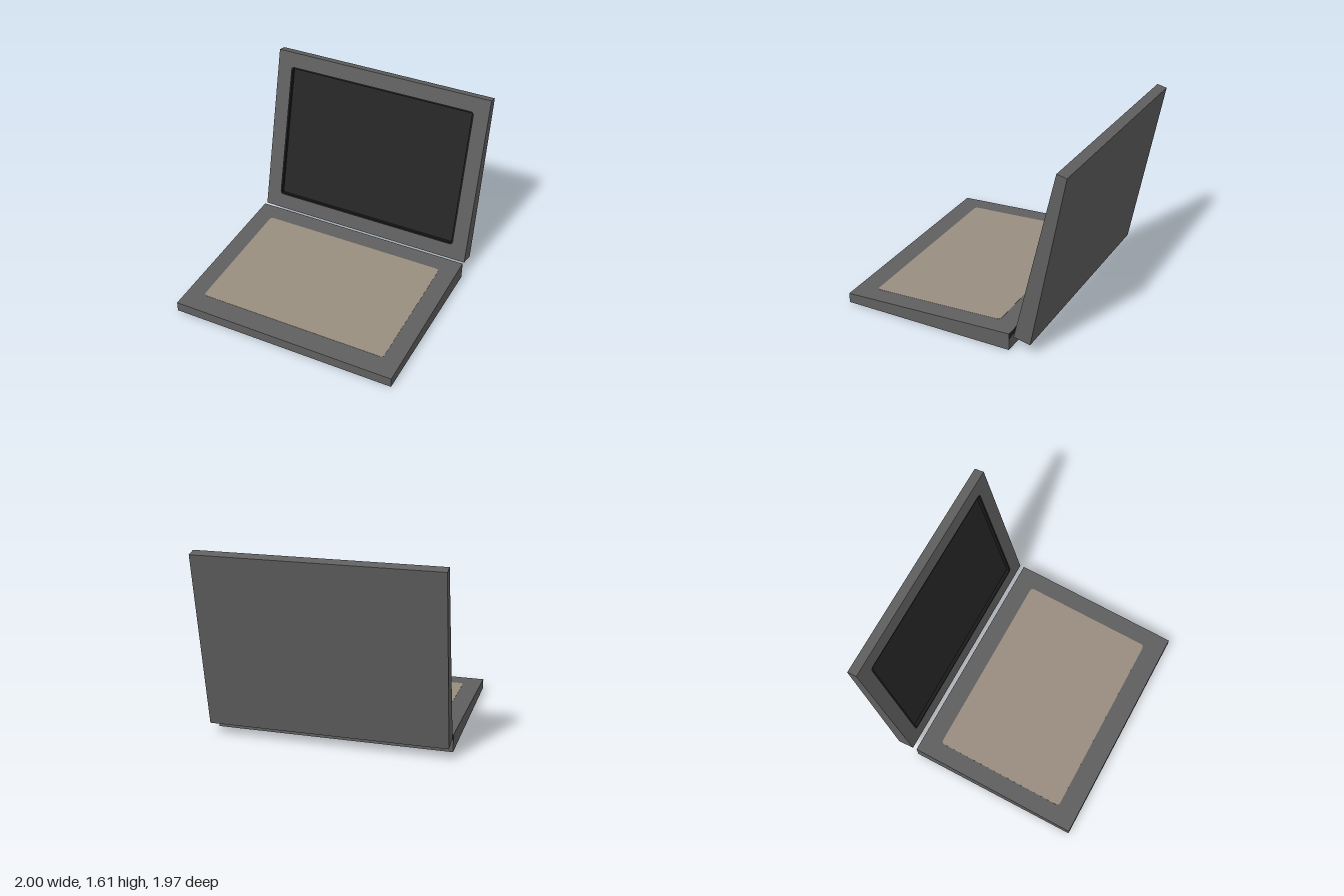
import * as THREE from 'three';

const mat = (name, color) => {
  const m = new THREE.MeshStandardMaterial({ color });
  m.name = name;
  return m;
};

// Rounded rectangle outline centred on (0, cy)
function roundedRect(w, h, r, cy = 0, Type = THREE.Shape) {
  const s = new Type();
  const x = w / 2, b = cy - h / 2, t = cy + h / 2;
  s.moveTo(-x + r, b);
  s.lineTo(x - r, b);
  s.quadraticCurveTo(x, b, x, b + r);
  s.lineTo(x, t - r);
  s.quadraticCurveTo(x, t, x - r, t);
  s.lineTo(-x + r, t);
  s.quadraticCurveTo(-x, t, -x, t - r);
  s.lineTo(-x, b + r);
  s.quadraticCurveTo(-x, b, -x + r, b);
  return s;
}

// Slab whose front face lies on z = 0
function slab(shape, depth) {
  return new THREE.ExtrudeGeometry(shape, { depth, bevelEnabled: false, curveSegments: 6 }).translate(0, 0, -depth);
}

// Side profile of [z, y] points stretched across the full width
function prism(points) {
  const shape = new THREE.Shape(points.map(([z, y]) => new THREE.Vector2(z, y)));
  return new THREE.ExtrudeGeometry(shape, { depth: 2, bevelEnabled: false }).translate(0, 0, -1).rotateY(-Math.PI / 2);
}

export function createModel() {
  const casing = mat('casing grey', 0x5f5f5f);
  const dark = mat('screen charcoal', 0x262626);
  const rimBlack = mat('rim black', 0x1a1a1a);
  const taupe = mat('deck taupe', 0x988d7f);

  const model = new THREE.Group();
  const add = (parent, name, geometry, material) => {
    const mesh = new THREE.Mesh(geometry, material);
    mesh.name = name;
    parent.add(mesh);
    return mesh;
  };

  // Base: wedge, thicker at the hinge
  const base = new THREE.Group();
  base.name = 'base';
  add(base, 'baseCasing', prism([[-0.53, 0], [0.98, 0], [0.98, 0.085], [-0.53, 0.15]]), casing);

  // Key deck follows the sloping top
  const deck = add(base, 'keyDeck', slab(roundedRect(1.69, 1.17, 0.035), 0.006), taupe);
  deck.rotation.x = -Math.PI / 2 + 0.043;
  deck.position.set(0, 0.12, 0.215);

  // Underside panel and the strip along the hinge edge
  const under = add(base, 'undersidePanel', slab(roundedRect(1.72, 1.21, 0.035), 0.006), dark);
  under.rotation.x = Math.PI / 2;
  under.position.set(0, -0.002, 0.225);
  const strip = add(base, 'hingeStrip', new THREE.BoxGeometry(2, 0.045, 0.006), dark);
  strip.position.set(0, 0.126, -0.529);
  model.add(base);

  // Lid: origin at its lower front edge, y runs up the lid, z faces out of it
  const lid = new THREE.Group();
  lid.name = 'lid';
  const length = 1.513, pocket = 0.04, mid = 0.757;
  const frame = new THREE.Shape();
  frame.moveTo(-1, 0);
  frame.lineTo(1, 0);
  frame.lineTo(1, length);
  frame.lineTo(-1, length);
  frame.closePath();
  frame.holes.push(roundedRect(1.74, 1.25, 0.035, mid, THREE.Path));
  add(lid, 'lidFrame', slab(frame, pocket), casing);
  add(lid, 'lidBack', prism([[-0.147, 0], [-pocket, 0], [-pocket, length], [-0.086, length]]), casing);

  // Dark rim lining the pocket, with the screen set behind it
  const rim = roundedRect(1.74, 1.25, 0.035, mid);
  rim.holes.push(roundedRect(1.706, 1.218, 0.012, mid, THREE.Path));
  add(lid, 'screenRim', slab(rim, pocket), rimBlack);
  const screen = add(lid, 'screen', slab(roundedRect(1.72, 1.23, 0.012, mid), 0.008), dark);
  screen.position.z = -0.032;

  lid.rotation.x = -0.2233;
  lid.position.set(0, 0.135, -0.57);
  model.add(lid);

  return model;
}
